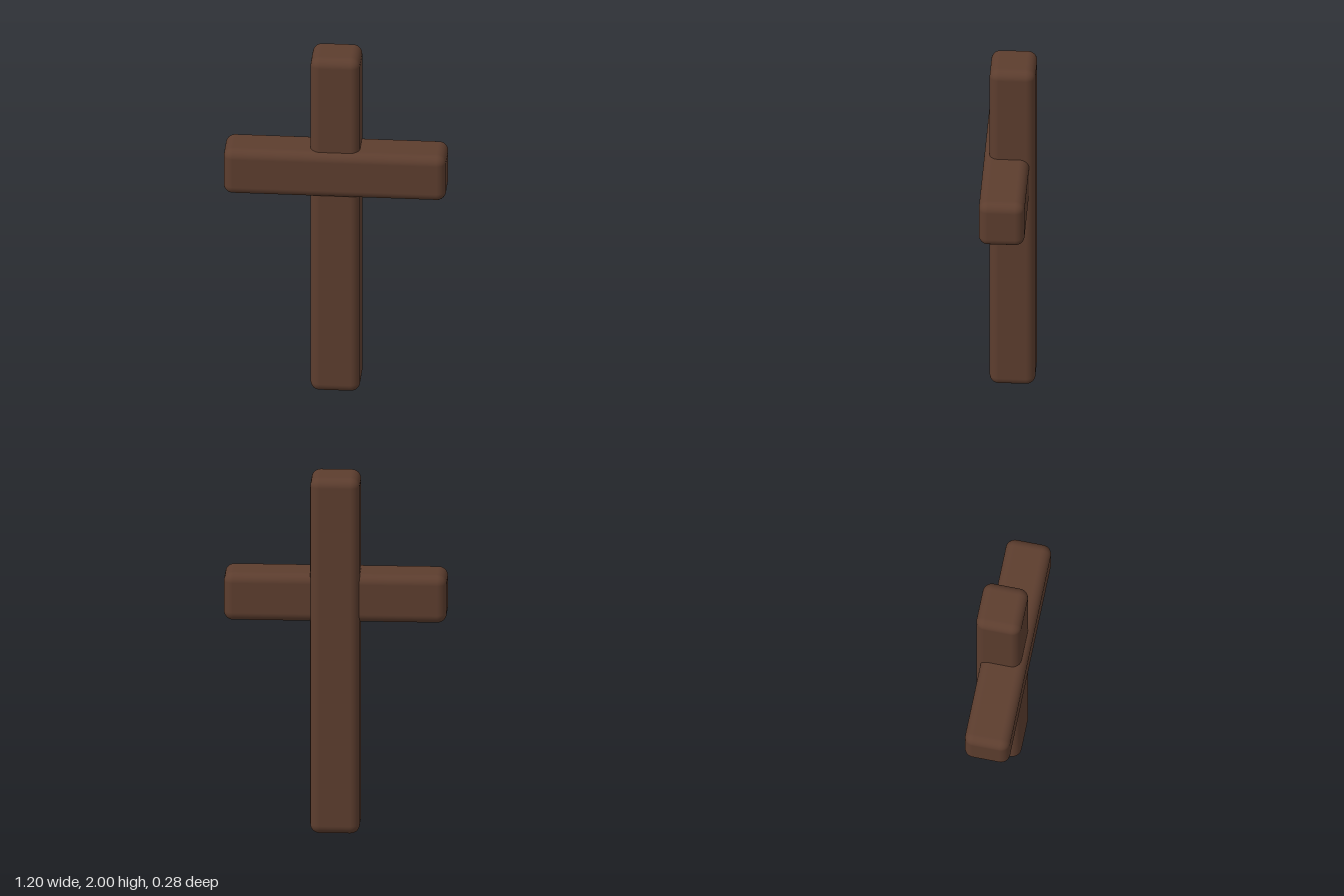
import * as THREE from 'three';
import { RoundedBoxGeometry } from 'three/addons/geometries/RoundedBoxGeometry.js';

export function createModel() {
  const group = new THREE.Group();
  group.name = 'woodenCross';

  const darkWood = new THREE.MeshStandardMaterial({ color: 0x5c3d2e });
  darkWood.name = 'darkWood';

  // A timber with softly rounded edges
  function timber(name, width, height, depth, y, z) {
    const mesh = new THREE.Mesh(new RoundedBoxGeometry(width, height, depth, 5, 0.05), darkWood);
    mesh.name = name;
    mesh.position.set(0, y, z);
    group.add(mesh);
  }

  // Upright post, set slightly to the back
  timber('uprightPost', 0.267, 2, 0.247, 1, -0.016);
  // Crossbeam, set slightly to the front
  timber('crossbeam', 1.2, 0.267, 0.247, 1.317, 0.016);

  return group;
}
